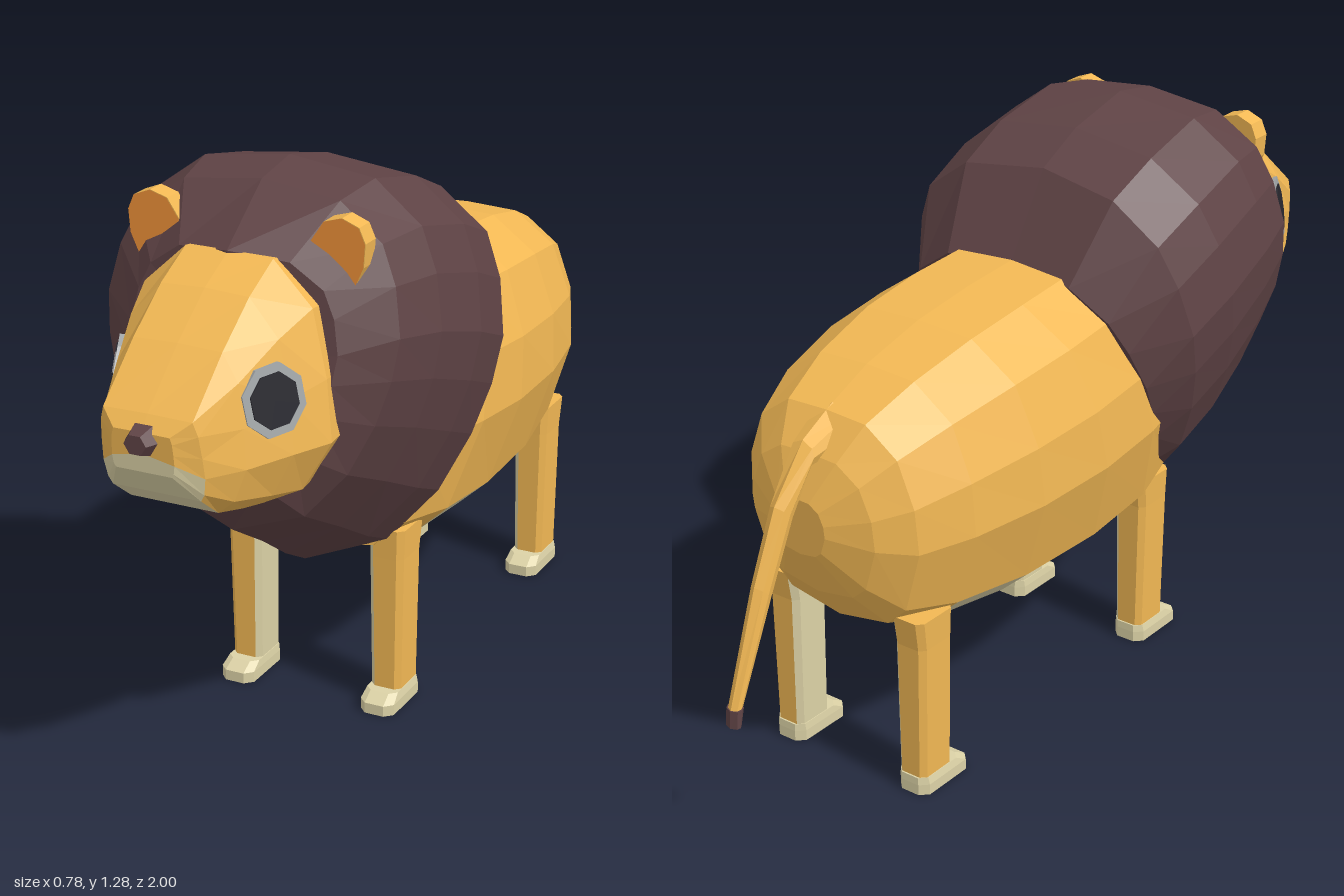
import * as THREE from 'three';

const GOLD = 0xf2b854, MANE = 0x5f4345, CREAM = 0xdcd2a6, ORANGE = 0xee9238, DARK = 0x25252c, GREY = 0xa2a6a8;

function mat(color) {
  return new THREE.MeshStandardMaterial({ color, flatShading: true });
}

// Skin a list of closed rings; each ring runs counterclockwise about the direction of travel.
// colorOf(i, j) picks the colour of a quad, so one loft may give several meshes.
function loft(name, rings, colorOf) {
  const group = new THREE.Group();
  group.name = name;
  const sets = new Map();
  const add = (color, ...pts) => {
    if (!sets.has(color)) sets.set(color, []);
    pts.forEach(p => sets.get(color).push(p.x, p.y, p.z));
  };
  const n = rings[0].length, last = rings.length - 1;
  const middle = r => r.reduce((s, p) => s.add(p), new THREE.Vector3()).divideScalar(n);
  const first = middle(rings[0]), end = middle(rings[last]);
  for (let j = 0; j < n; j++) {
    const k = (j + 1) % n;
    for (let i = 0; i < last; i++) {
      const a = rings[i][j], b = rings[i][k], c = rings[i + 1][k], d = rings[i + 1][j];
      add(colorOf(i, j), a, b, c, a, c, d);
    }
    add(colorOf(0, j), first, rings[0][k], rings[0][j]);
    add(colorOf(last - 1, j), end, rings[last][j], rings[last][k]);
  }
  for (const [color, positions] of sets) {
    const g = new THREE.BufferGeometry();
    g.setAttribute('position', new THREE.Float32BufferAttribute(positions, 3));
    g.computeVertexNormals();
    const mesh = new THREE.Mesh(g, mat(color));
    mesh.name = name + (color === CREAM ? 'Underside' : 'Surface');
    group.add(mesh);
  }
  return group;
}

// Mirrored, tilted cross-section from a half profile of [width share, height share];
// bow sweeps the sides of the ring backward.
function section(profile, [topY, topZ, botY, botZ, w, bow = 0]) {
  const point = (side) => ([x, t]) => new THREE.Vector3(
    side * x * w, botY + (topY - botY) * t, botZ + (topZ - botZ) * t - bow * x);
  return [...profile.map(point(1)), ...profile.slice(1, -1).reverse().map(point(-1))];
}

// Horizontal rectangle with cut corners
function octagon(x, y, z, hx, hz, cut) {
  const corners = [[-hx + cut, hz], [hx - cut, hz], [hx, hz - cut], [hx, -hz + cut],
    [hx - cut, -hz], [-hx + cut, -hz], [-hx, -hz + cut], [-hx, hz - cut]];
  return corners.map(([dx, dz]) => new THREE.Vector3(x + dx, y, z + dz));
}

function body() {
  const profile = [[0, 1], [0.45, 0.99], [0.8, 0.87], [0.97, 0.66], [1, 0.45], [0.81, 0.15], [0.58, 0.05], [0, 0]];
  const rings = [
    [0.95, 0.22, 0.36, 0.28, 0.26],
    [1.0, -0.04, 0.335, 0.14, 0.315],
    [0.99, -0.2, 0.32, -0.07, 0.325],
    [0.97, -0.37, 0.325, -0.32, 0.315],
    [0.93, -0.54, 0.35, -0.53, 0.28],
    [0.875, -0.67, 0.385, -0.65, 0.23],
    [0.8, -0.73, 0.47, -0.715, 0.165],
    [0.71, -0.77, 0.58, -0.765, 0.07],
  ].map(r => section(profile, r));
  return loft('body', rings, (i, j) => Math.min(j, 13 - j) >= 5 && i >= 1 && i < 4 ? CREAM : GOLD);
}

function mane() {
  const profile = [[0, 1], [0.53, 0.97], [0.83, 0.87], [0.94, 0.76], [1, 0.62], [0.97, 0.5], [0.89, 0.37], [0.74, 0.22], [0.48, 0.08], [0, 0]];
  const rings = [
    [1.15, 0.63, 0.65, 0.75, 0.24, 0.06],
    [1.26, 0.48, 0.54, 0.63, 0.34],
    [1.28, 0.36, 0.46, 0.5, 0.375],
    [1.24, 0.19, 0.39, 0.4, 0.39, 0.02],
    [1.18, 0.07, 0.34, 0.31, 0.38, 0.05],
    [1.0, -0.045, 0.34, 0.28, 0.315, 0.05],
  ].map(r => section(profile, r));
  return loft('mane', rings, () => MANE);
}

// Head with a flat strip of constant width down the forehead and under the chin
function head() {
  const profile = w => {
    const strip = Math.min(0.9, 0.1 / w);
    const x = f => strip + (1 - strip) * f;
    return [[0, 1], [strip, 0.99], [x(0.62), 0.82], [x(0.88), 0.55], [1, 0.3], [x(0.6), 0.09], [strip, 0], [0, 0]];
  };
  const rings = [
    [0.885, 0.975, 0.8, 0.97, 0.07],
    [0.915, 0.95, 0.74, 0.925, 0.115],
    [1.02, 0.83, 0.69, 0.86, 0.16],
    [1.1, 0.72, 0.66, 0.76, 0.21],
    [1.15, 0.62, 0.64, 0.68, 0.25],
    [1.13, 0.5, 0.65, 0.58, 0.24],
  ].map(r => section(profile(r[4]), r));
  return loft('head', rings, (i, j) => Math.min(j, 13 - j) >= (i === 0 ? 4 : 6) ? CREAM : GOLD);
}

function nose() {
  const g = new THREE.CylinderGeometry(0.025, 0.045, 0.05, 6);
  g.rotateX(Math.PI / 2).rotateZ(Math.PI / 6);
  const mesh = new THREE.Mesh(g, mat(MANE));
  mesh.name = 'nose';
  mesh.scale.y = 0.9;
  mesh.position.set(0, 0.867, 0.975);
  return mesh;
}

// Flat eight-sided discs facing out and forward
function eye(side) {
  const group = new THREE.Group();
  group.name = side > 0 ? 'leftEye' : 'rightEye';
  [[0.076, 0.024, GREY, 'eyeRim'], [0.058, 0.03, DARK, 'pupil']].forEach(([r, h, color, name]) => {
    const mesh = new THREE.Mesh(new THREE.CylinderGeometry(r, r, h, 8), mat(color));
    mesh.name = name;
    group.add(mesh);
  });
  const normal = new THREE.Vector3(side * 0.87, 0.18, 0.46).normalize();
  group.quaternion.setFromUnitVectors(new THREE.Vector3(0, 1, 0), normal);
  group.position.set(side * 0.173, 0.91, 0.77);
  return group;
}

// Fan-shaped ear: gold shell with an orange inner face
function ear(side) {
  const outline = [[0.25, 1.09], [0.268, 1.13], [0.272, 1.18], [0.258, 1.212], [0.22, 1.227], [0.18, 1.215], [0.15, 1.17]];
  const shape = new THREE.Shape(outline.map(([x, y]) => new THREE.Vector2(side * x, y)));
  const group = new THREE.Group();
  group.name = side > 0 ? 'leftEar' : 'rightEar';
  const shell = new THREE.Mesh(new THREE.ExtrudeGeometry(shape, { depth: 0.045, bevelEnabled: false }), mat(GOLD));
  shell.name = 'earShell';
  shell.position.z = 0.51;
  const inner = new THREE.Mesh(new THREE.ShapeGeometry(shape), mat(ORANGE));
  inner.name = 'innerEar';
  inner.position.z = 0.558;
  group.add(shell, inner);
  return group;
}

// Leg with a pale inner side and a pale foot reaching forward
function leg(name, side, z) {
  const group = new THREE.Group();
  group.name = name;
  const inner = side > 0 ? [5, 6, 7] : [1, 2, 3];
  const rings = [
    octagon(side * 0.176, 0.03, z, 0.036, 0.05, 0.012),
    octagon(side * 0.177, 0.36, z, 0.041, 0.052, 0.013),
    octagon(side * 0.178, 0.43, z - 0.005, 0.043, 0.058, 0.014),
  ];
  group.add(loft(name + 'Shaft', rings, (i, j) => inner.includes(j) ? CREAM : GOLD));
  const foot = [
    octagon(side * 0.177, 0, z + 0.025, 0.041, 0.08, 0.018),
    octagon(side * 0.177, 0.025, z + 0.025, 0.041, 0.08, 0.018),
    octagon(side * 0.176, 0.042, z + 0.01, 0.038, 0.064, 0.016),
  ];
  group.add(loft(name + 'Foot', foot, () => CREAM));
  return group;
}

function tail() {
  const profile = [[0, 1], [0.8, 0.8], [1, 0.5], [0.8, 0.2], [0, 0]];
  const rings = [
    [0.885, -0.65, 0.78, -0.67, 0.05],
    [0.835, -0.745, 0.775, -0.75, 0.032],
    [0.72, -0.838, 0.68, -0.797, 0.024],
    [0.565, -0.908, 0.53, -0.867, 0.021],
    [0.31, -0.997, 0.315, -0.968, 0.016],
  ].map(r => section(profile, r));
  const tip = [
    [0.315, -0.997, 0.32, -0.966, 0.02],
    [0.275, -1.0, 0.282, -0.977, 0.02],
  ].map(r => section(profile, r));
  const group = new THREE.Group();
  group.name = 'tail';
  group.add(loft('tailStem', rings, () => GOLD), loft('tailTip', tip, () => MANE));
  return group;
}

export function createModel() {
  const model = new THREE.Group();
  model.name = 'lion';
  model.add(body(), mane(), head(), nose(), tail());
  for (const side of [1, -1]) {
    const label = side > 0 ? 'left' : 'right';
    model.add(eye(side), ear(side));
    model.add(leg(label + 'FrontLeg', side, 0.22), leg(label + 'BackLeg', side, -0.587));
  }
  return model;
}
